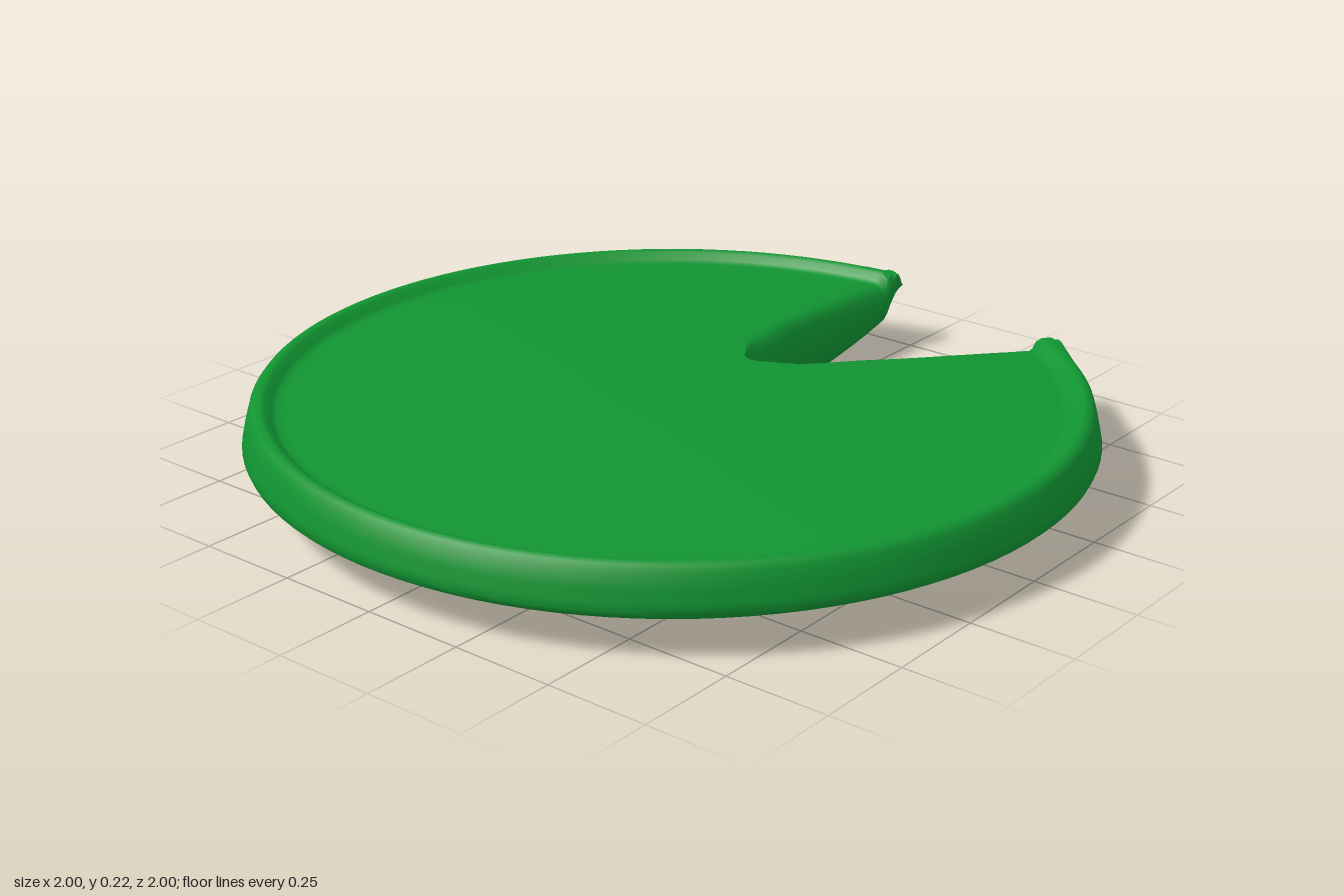
import * as THREE from 'three';
import { mergeVertices, toCreasedNormals } from 'three/addons/utils/BufferGeometryUtils.js';

// Notch outline [x, z], from the apex out to each tip
const APEX = [0.068, -0.205];
const LEFT = [APEX, [0.045, -0.218], [0.025, -0.28], [-0.005, -0.5], [-0.018, -0.75], [-0.03, -1]];
const RIGHT = [APEX, [0.09, -0.212], [0.14, -0.265], [0.30, -0.495], [0.487, -0.80], [0.535, -0.845]];
// Raised rim: [radius, height] of the upper skin outside the dome
const RIM = [[0.9, 0.18], [0.918, 0.179], [0.93, 0.186], [0.942, 0.202], [0.955, 0.207],
  [0.97, 0.203], [0.98, 0.19], [0.99, 0.155], [1, 0.11]];
const APEX_R = Math.hypot(...APEX);

// Piecewise linear lookup in a list of [key, value]
function lookup(list, key) {
  if (key <= list[0][0]) return list[0][1];
  for (let i = 1; i < list.length; i++) {
    const [k0, v0] = list[i - 1], [k1, v1] = list[i];
    if (key <= k1) return v0 + (v1 - v0) * (key - k0) / (k1 - k0);
  }
  return list[list.length - 1][1];
}

// Notch edges as angle (from the back, towards +x) by radius
const byRadius = (pts) => pts.map(([x, z]) => [Math.hypot(x, z), Math.atan2(x, -z)]);
const leftEdge = byRadius(LEFT), rightEdge = byRadius(RIGHT);

const topHeight = (r) => (r < 0.9 ? 0.22 - 0.05 * r * r : lookup(RIM, r));
const bottomHeight = (r) => 0.11 * (1 - Math.sqrt(Math.max(0, 1 - r * r)));

// Closed cross-section of the pad at one radius: underside, notch wall, top, notch wall
function section(r, sweep, wall) {
  const inset = 0.04 * THREE.MathUtils.clamp((r - APEX_R) / 0.12, 0, 1);
  const turn = r > 0 ? inset / r : 0;
  const a0 = lookup(rightEdge, r) + turn;
  const a1 = lookup(leftEdge, r) + 2 * Math.PI - turn;
  const yb = bottomHeight(r), yt = topHeight(r);
  const loop = [];
  const add = (a, y) => {
    // Tips of the rim curl up beside the notch
    const near = Math.max(0, 1 - Math.min(a - a0, a1 - a) / 0.12);
    const lift = 0.055 * Math.min(1, near) * Math.max(0, (r - 0.93) / 0.07);
    loop.push([r * Math.sin(a), Math.max(y, Math.min(y + lift, 0.2)), -r * Math.cos(a)]);
  };
  const wallPoint = (a, sign, k) => {
    const phi = Math.PI * k / wall;
    add(a + sign * turn * Math.sin(phi), (yb + yt) / 2 - (yt - yb) / 2 * Math.cos(phi));
  };
  for (let j = 0; j <= sweep; j++) add(a0 + (a1 - a0) * j / sweep, yb);
  for (let k = 1; k < wall; k++) wallPoint(a1, 1, k);
  for (let j = sweep; j >= 0; j--) add(a0 + (a1 - a0) * j / sweep, yt);
  for (let k = wall - 1; k > 0; k--) wallPoint(a0, -1, k);
  return loop;
}

function padGeometry() {
  const sweep = 96, wall = 8;
  const radii = [0, 0.1, APEX_R, 0.222, 0.23, 0.25, 0.28, 0.32];
  for (let r = 0.38; r < 0.89; r += 0.06) radii.push(r);
  radii.push(...RIM.map((p) => p[0]).slice(0, -1), 0.996, 1);

  const loops = radii.map((r) => section(r, sweep, wall));
  const n = loops[0].length;
  const isWall = (j) => (j >= sweep && j < sweep + wall) || j >= 2 * sweep + wall;
  const index = [];
  for (let i = 0; i < radii.length - 1; i++) {
    for (let j = 0; j < n; j++) {
      // No walls inside the uncut middle
      if (radii[i] < APEX_R && isWall(j)) continue;
      const a = i * n + j, b = i * n + (j + 1) % n, c = a + n, d = b + n;
      index.push(a, c, d);
      if (i > 0) index.push(a, d, b);
    }
  }
  const geo = new THREE.BufferGeometry();
  geo.setAttribute('position', new THREE.Float32BufferAttribute(loops.flat(2), 3));
  geo.setIndex(index);
  return toCreasedNormals(mergeVertices(geo, 1e-4), 0.9);
}

export function createModel() {
  const group = new THREE.Group();
  group.name = 'lilyPad';
  const leaf = new THREE.Mesh(padGeometry(), new THREE.MeshStandardMaterial({ color: 0x119432 }));
  leaf.name = 'notchedLeaf';
  group.add(leaf);
  return group;
}
